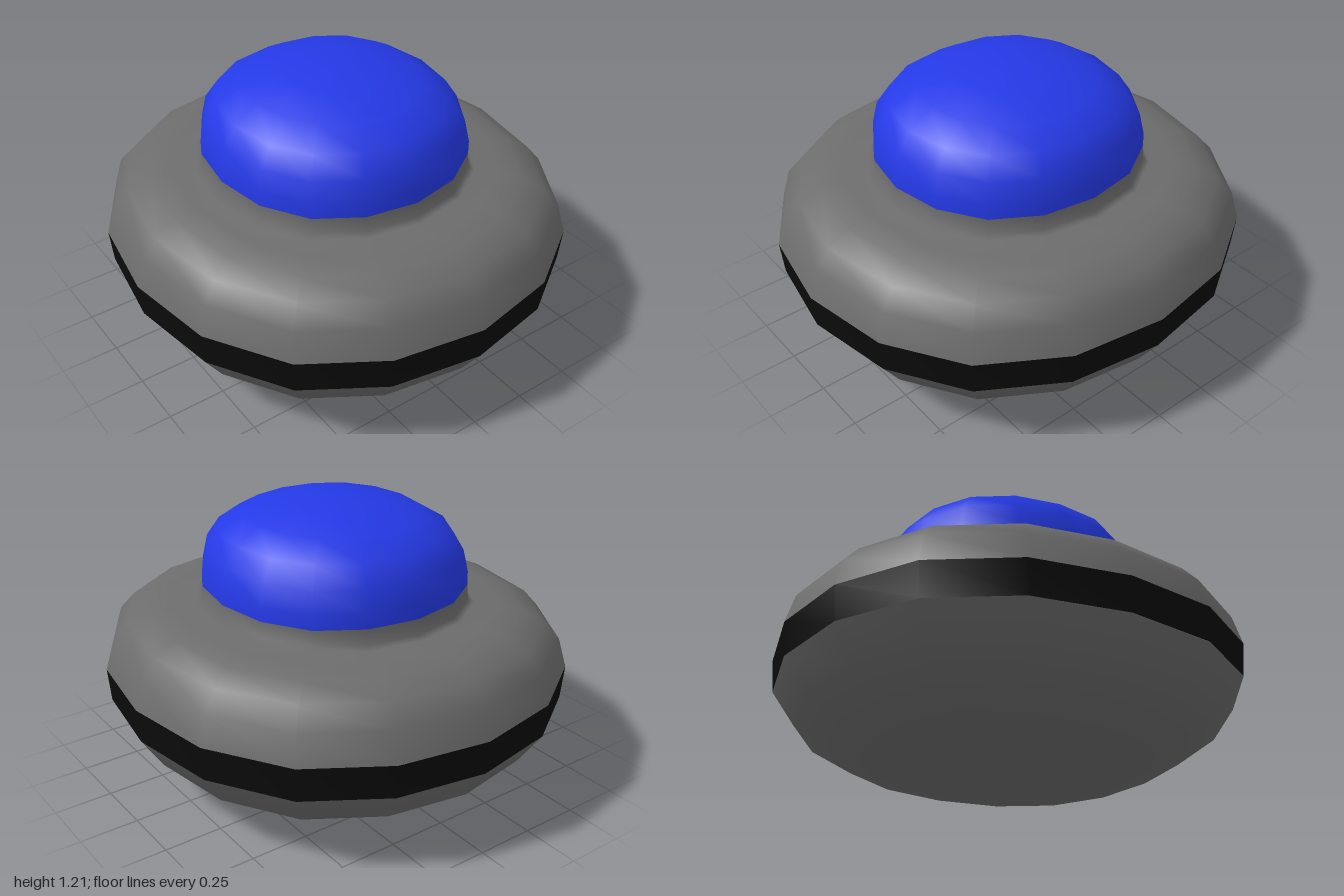
import * as THREE from 'three';
import { mergeVertices } from 'three/addons/utils/BufferGeometryUtils.js';

const SIDES = 16;
// Outline of one quarter of the slightly oval plan, from +z round to +x
const PLAN = [[0, 1], [0.385, 0.93], [0.7, 0.73], [0.9, 0.4], [0.963, 0]];

// Turns a [radius, height] profile and fits each ring to the oval plan
function ovalLathe(name, profile, color) {
  const points = profile.map(([r, y]) => new THREE.Vector2(r, y));
  let geo = new THREE.LatheGeometry(points, SIDES);
  const pos = geo.attributes.position;
  for (let i = 0; i < pos.count; i++) {
    const x = pos.getX(i), z = pos.getZ(i), r = Math.hypot(x, z);
    if (r < 1e-5) {
      pos.setXYZ(i, 0, pos.getY(i), 0);
      continue;
    }
    const k = Math.round(Math.atan2(Math.abs(x), Math.abs(z)) / (Math.PI / 8));
    pos.setX(i, Math.sign(x) * r * PLAN[k][0]);
    pos.setZ(i, Math.sign(z) * r * PLAN[k][1]);
  }
  // Weld the seam so the shading runs smoothly all the way round
  geo.deleteAttribute('uv');
  geo.deleteAttribute('normal');
  geo = mergeVertices(geo, 1e-4);
  geo.computeVertexNormals();
  const mesh = new THREE.Mesh(geo, new THREE.MeshStandardMaterial({ color }));
  mesh.name = name;
  return mesh;
}

export function createModel() {
  const group = new THREE.Group();
  group.name = 'domedSaucer';
  const grey = 0x6c6c6c;

  // Shallow bowl underneath
  group.add(ovalLathe('lowerHull', [
    [0, 0.003], [0.38, 0.03], [0.7, 0.1], [0.89, 0.217], [0.988, 0.362],
  ], grey));

  // Dark band round the widest part
  group.add(ovalLathe('rimBand', [[0.988, 0.362], [1, 0.508]], 0x0b0b0b));

  // Rounded shoulder rising into the collar
  group.add(ovalLathe('upperHull', [
    [1, 0.508], [0.963, 0.635], [0.895, 0.711], [0.8, 0.757], [0.7, 0.772],
    [0.6, 0.775], [0.575, 0.79], [0.569, 0.855],
  ], grey));

  // Domed cap
  group.add(ovalLathe('dome', [
    [0.569, 0.855], [0.568, 0.915], [0.546, 1.01], [0.49, 1.092],
    [0.38, 1.156], [0.208, 1.198], [0, 1.212],
  ], 0x2439e6));

  return group;
}
